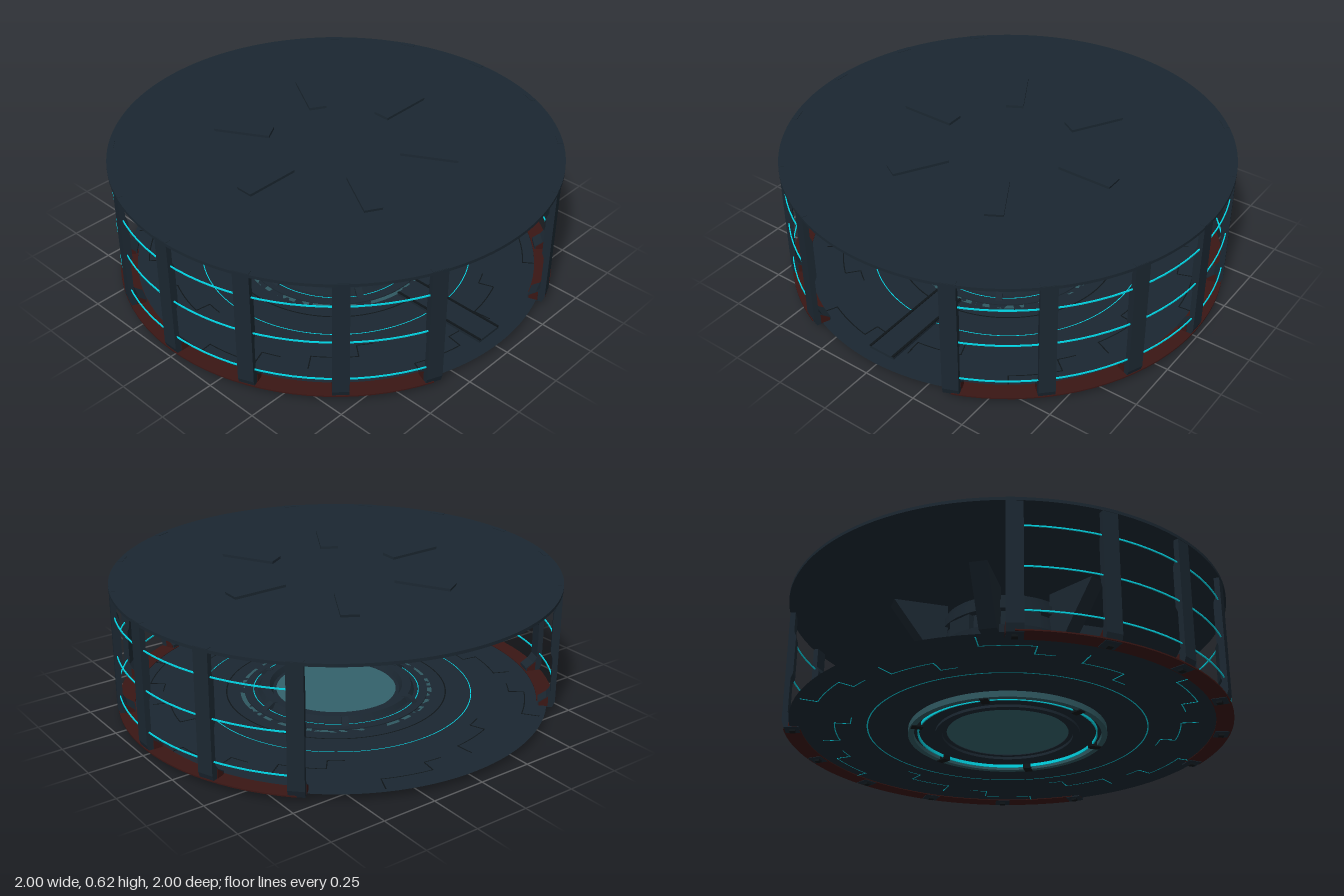
import * as THREE from 'three';
import { toCreasedNormals } from 'three/addons/utils/BufferGeometryUtils.js';

const mat = (name, color) => new THREE.MeshStandardMaterial({ name, color, side: THREE.DoubleSide });
const DEG = Math.PI / 180;

export function createModel() {
  const root = new THREE.Group();
  root.name = 'roundChamber';
  const hull = mat('dark slate', 0x1b2731);
  const seam = mat('near black', 0x0e1418);
  const teal = mat('teal glass', 0x33626b);
  const trim = mat('dull teal', 0x2f5860);
  const glow = mat('cyan light', 0x00dcec);
  const red = mat('dark red', 0x3a1614);

  const add = (name, geo, material, parent = root) => {
    const mesh = new THREE.Mesh(geo, material);
    mesh.name = name;
    parent.add(mesh);
    return mesh;
  };
  // Angles run in degrees from the front (+z) towards +x
  const spin = (name, angle) => {
    const g = new THREE.Group();
    g.name = name;
    g.rotation.y = angle * DEG;
    root.add(g);
    return g;
  };
  // Revolved [radius, height] profile, outer side going upwards
  const lathe = (pts, from = 0, span = 360, seg = 96) => toCreasedNormals(new THREE.LatheGeometry(
    pts.map(p => new THREE.Vector2(...p)), Math.max(2, Math.ceil(seg * span / 360)), from * DEG, span * DEG), 0.5);
  const band = (r0, r1, y0, y1, from, span) =>
    lathe([[r0, y0], [r1, y0], [r1, y1], [r0, y1], [r0, y0]], from, span);
  // Flat arc strip lying on a horizontal plane
  const flat = (r0, r1, y, from = 0, span = 360) => {
    const g = new THREE.RingGeometry(r0, r1, Math.max(2, Math.ceil(span / 3)), 1, (from - 90) * DEG, span * DEG);
    return g.rotateX(-Math.PI / 2).translate(0, y, 0);
  };
  // Side profile [radius, height] given a width, pointing outwards along +z
  const slab = (pts, width) => new THREE.ExtrudeGeometry(
    new THREE.Shape(pts.map(p => new THREE.Vector2(...p))), { depth: width, bevelEnabled: false })
    .translate(0, 0, -width / 2).rotateY(-Math.PI / 2);
  const box = (w, h, d, x, y, z) => new THREE.BoxGeometry(w, h, d).translate(x, y, z);

  // Ceiling and floor
  add('ceiling', toCreasedNormals(new THREE.CylinderGeometry(0.998, 0.998, 0.014, 128), 0.5), hull).position.y = 0.603;
  add('floor', flat(0.3, 0.96, 0.033), hull);
  add('floorRingTop', flat(0.617, 0.621, 0.035), glow);
  add('floorRingUnder', flat(0.616, 0.622, 0.031), glow);
  add('floorSeam', flat(0.5, 0.506, 0.035), seam);

  // Stepped circuit traces, dark above and lit below
  for (let i = 0; i < 12; i++) {
    const a = i * 30 + 6, r = i % 2 ? 0.86 : 0.76;
    for (const [y, m, label] of [[0.035, seam, 'floorGroove'], [0.031, glow, 'underfloorTrace']]) {
      add(label, flat(r, r + 0.005, y, a, 15), m);
      add(label, flat(r - 0.07, r - 0.065, y, a + 15, 6), m);
      const arm = spin(label + 'Arms', a);
      add(label, box(0.005, 0.001, 0.08, 0, y, r + 0.04), m, arm);
      const step = spin(label + 'Arms', a + 15);
      add(label, box(0.005, 0.001, 0.07, 0, y, r - 0.032), m, step);
    }
  }

  // Walkway from the front opening to the platform
  add('walkway', box(0.13, 0.012, 0.46, 0, 0.04, 0.67), hull);
  for (const s of [-1, 1]) add('walkwayEdge', box(0.01, 0.006, 0.46, s * 0.06, 0.047, 0.67), seam);

  // Central platform
  add('platformRim', band(0.415, 0.44, 0.006, 0.033), trim);
  add('platformDeck', band(0.27, 0.42, 0.024, 0.038), hull);
  add('platformRing', lathe([[0.29, 0.036], [0.36, 0.036], [0.345, 0.062], [0.305, 0.062], [0.29, 0.036]]), hull);
  add('platformLight', flat(0.377, 0.381, 0.04), glow);
  add('platformLightUnder', band(0.392, 0.398, 0.01, 0.024), glow);
  add('platformLowerRing', band(0.29, 0.32, 0.012, 0.026), hull);
  add('platformGlass', toCreasedNormals(new THREE.CylinderGeometry(0.275, 0.275, 0.012, 64), 0.5), teal).position.y = 0.033;
  for (let i = 0; i < 6; i++) {
    const g = spin('platformClamp', i * 60 + 30);
    add('clampBlock', slab([[0.33, 0.034], [0.4, 0.034], [0.375, 0.054], [0.355, 0.066], [0.33, 0.064]], 0.03), hull, g);
    add('clampUnder', box(0.035, 0.022, 0.05, 0, 0.012, 0.41), seam, g);
  }

  // Suspended ring machine
  add('projectorRing', lathe([[0.25, 0.36], [0.33, 0.36], [0.335, 0.395], [0.29, 0.405], [0.285, 0.485],
    [0.31, 0.49], [0.31, 0.53], [0.24, 0.535], [0.24, 0.42], [0.25, 0.36]]), hull);
  add('projectorCollar', band(0.22, 0.295, 0.53, 0.56), hull);
  add('projectorNeck', band(0.2, 0.23, 0.555, 0.6), seam);
  for (let i = 0; i < 6; i++) {
    add('projectorPanel', box(0.12, 0.09, 0.04, 0, 0.435, 0.29), hull, spin('projectorPanels', i * 60));
    // Wedge brackets passing through the ceiling
    add('bracket', slab([[0.31, 0.36], [0.37, 0.36], [0.545, 0.6], [0.55, 0.622], [0.295, 0.622], [0.29, 0.5]], 0.08),
      hull, spin('ceilingBracket', i * 60 + 30));
  }

  // Wall columns and rails on both sides, open at front and back
  const columnProfile = [[0.92, 0.028], [0.985, 0.028], [0.996, 0.06], [0.996, 0.612], [0.972, 0.612], [0.972, 0.5],
    [0.962, 0.475], [0.962, 0.29], [0.972, 0.265], [0.972, 0.1], [0.955, 0.075], [0.92, 0.05]];
  const footProfile = [[0.925, 0.032], [0.965, 0.032], [0.965, 0.08], [0.953, 0.07], [0.925, 0.048]];
  for (const side of [-1, 1]) {
    for (let i = 1; i <= 6; i++) {
      const g = spin('wallColumn', side * i * 22.5);
      add('column', slab(columnProfile, 0.07), hull, g);
      add('columnFootCheeks', slab(footProfile, 0.074), red, g);
      add('columnFootBolt', box(0.025, 0.014, 0.025, 0, 0.025, 0.95), seam, g);
    }
    const from = side > 0 ? 22.5 : -135;
    for (const y of [0.12, 0.31, 0.49])
      add('rail', band(0.981, 0.986, y - 0.003, y + 0.003, from, 112.5), glow);
    // Red skirting along the floor edge
    add('redSkirting', band(0.915, 0.992, 0.03, 0.036, from, 112.5), red);
  }

  return root;
}
